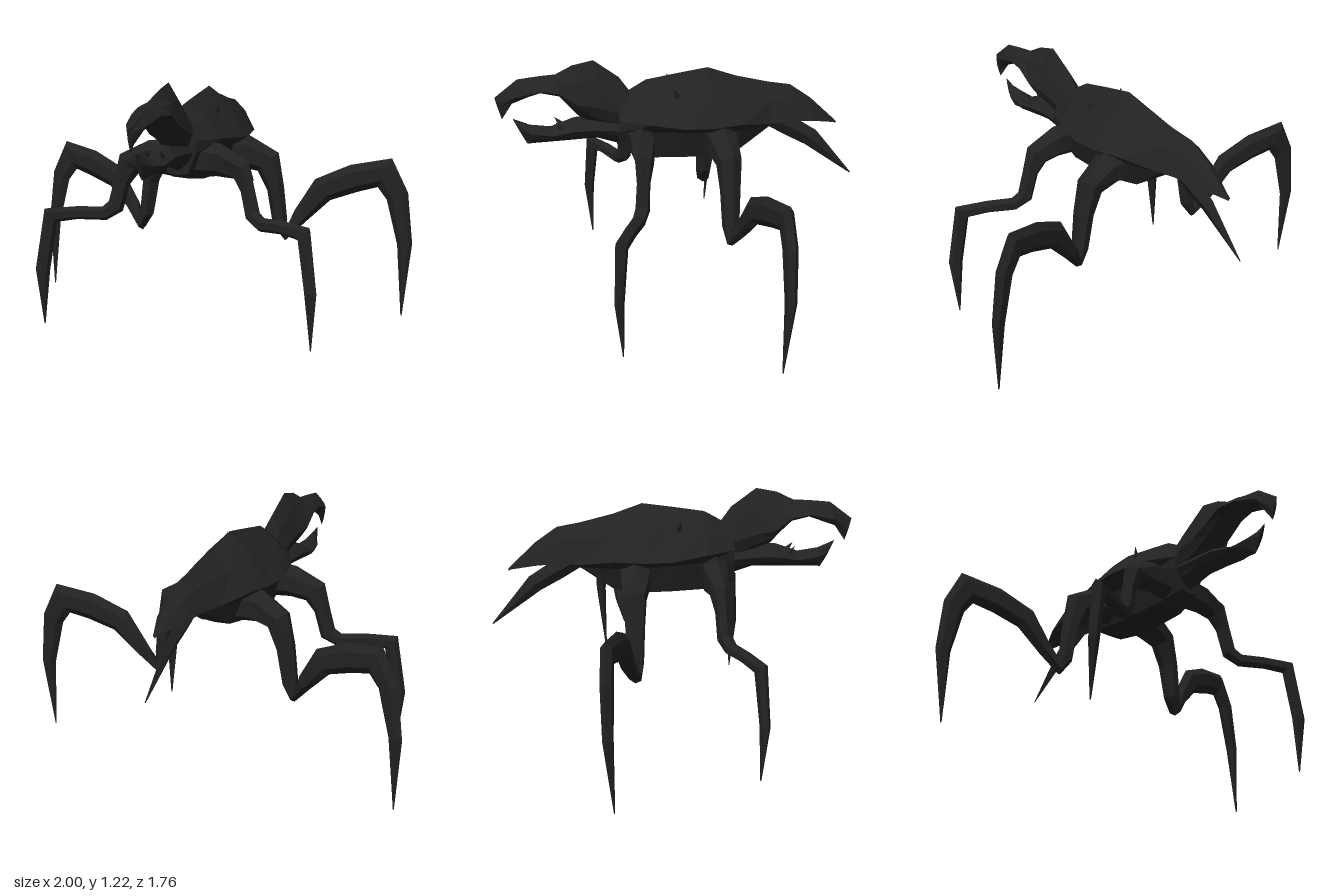
import * as THREE from 'three';

const material = new THREE.MeshStandardMaterial({ color: 0x222222, flatShading: true, side: THREE.DoubleSide });

// Skin a list of equal-length rings, close both ends, and face outwards
function loft(name, rings) {
  const n = rings[0].length, pos = [], idx = [];
  rings.forEach((r) => r.forEach((p) => pos.push(p.x, p.y, p.z)));
  for (let i = 0; i < rings.length - 1; i++) {
    for (let j = 0; j < n; j++) {
      const a = i * n + j, b = i * n + (j + 1) % n;
      idx.push(a, b, a + n, b, b + n, a + n);
    }
  }
  [0, rings.length - 1].forEach((k) => {
    const c = new THREE.Vector3();
    rings[k].forEach((p) => c.addScaledVector(p, 1 / n));
    const m = pos.push(c.x, c.y, c.z) / 3 - 1;
    for (let j = 0; j < n; j++) {
      const a = k * n + j, b = k * n + (j + 1) % n;
      if (k) idx.push(a, b, m); else idx.push(b, a, m);
    }
  });
  // A negative enclosed volume means the winding is inside out
  const v = (i) => new THREE.Vector3().fromArray(pos, i * 3);
  let volume = 0;
  for (let i = 0; i < idx.length; i += 3) volume += v(idx[i]).dot(v(idx[i + 1]).cross(v(idx[i + 2])));
  if (volume < 0) idx.reverse();
  const g = new THREE.BufferGeometry();
  g.setAttribute('position', new THREE.Float32BufferAttribute(pos, 3));
  g.setIndex(idx);
  g.computeVertexNormals();
  const mesh = new THREE.Mesh(g, material);
  mesh.name = name;
  return mesh;
}

// Symmetric ring from a half outline [x, y, z] running from top centre to bottom centre
function mirrorRing(half) {
  const right = half.map((p) => new THREE.Vector3(...p));
  const left = half.slice(1, -1).reverse().map((p) => new THREE.Vector3(-p[0], p[1], p[2]));
  return right.concat(left);
}

// Limb along joints [x, y, z, thickness in leg plane, thickness across it]
function limb(name, joints, across, sides = 6) {
  const pts = joints.map((j) => new THREE.Vector3(j[0], j[1], j[2]));
  return loft(name, joints.map((j, i) => {
    const dirs = [];
    if (i > 0) dirs.push(pts[i].clone().sub(pts[i - 1]).normalize());
    if (i < pts.length - 1) dirs.push(pts[i + 1].clone().sub(pts[i]).normalize());
    const t = dirs.reduce((s, d) => s.add(d), new THREE.Vector3()).normalize();
    const u = new THREE.Vector3().crossVectors(t, across).normalize();
    const w = new THREE.Vector3().crossVectors(u, t);
    return Array.from({ length: sides }, (_, k) => {
      const a = (k / sides) * Math.PI * 2;
      return pts[i].clone().addScaledVector(u, Math.cos(a) * j[3]).addScaledVector(w, Math.sin(a) * j[4]);
    });
  }));
}

export function createModel() {
  const model = new THREE.Group();
  model.name = 'creature';

  // Body: [z, ridge y, shoulder x, y, shell rim x, y, under rim x, y, belly x, y]
  const body = [
    [0.30, 1.04, 0.05, 1.01, 0.095, 0.95, 0.09, 0.89, 0.05, 0.79],
    [0.16, 1.12, 0.09, 1.05, 0.175, 0.95, 0.13, 0.90, 0.08, 0.75],
    [0.00, 1.145, 0.10, 1.06, 0.22, 0.935, 0.14, 0.89, 0.09, 0.745],
    [-0.14, 1.165, 0.11, 1.06, 0.215, 0.93, 0.14, 0.88, 0.09, 0.742],
    [-0.28, 1.115, 0.10, 1.03, 0.185, 0.93, 0.13, 0.88, 0.08, 0.76],
    [-0.44, 1.075, 0.07, 1.01, 0.12, 0.90, 0.08, 0.88, 0.04, 0.86],
    [-0.55, 1.055, 0.055, 1.00, 0.10, 0.90, 0.06, 0.90, 0.03, 0.90],
    [-0.655, 0.98, 0.04, 0.95, 0.075, 0.885, 0.04, 0.89, 0.02, 0.895],
    [-0.79, 0.85, 0.006, 0.848, 0.01, 0.845, 0.006, 0.844, 0.003, 0.843],
  ];
  model.add(loft('body', body.map(([z, top, sx, sy, rx, ry, ux, uy, bx, by]) => mirrorRing(
    [[0, top, z], [sx, sy, z], [rx, ry, z], [ux, uy, z], [bx, by, z], [0, by - 0.005, z]]))));

  // Head parts: [top z, top y, half width, widest y, bottom z, bottom y]
  const headPart = (name, rows) => model.add(loft(name, rows.map(([tz, ty, w, wy, bz, by]) => {
    const at = (y) => bz + (tz - bz) * (y - by) / (ty - by);
    const hi = (ty * 0.6 + wy * 0.4), lo = (by + wy) / 2;
    return mirrorRing([[0, ty, tz], [w * 0.55, hi, at(hi)], [w, wy, at(wy)], [w * 0.7, lo, at(lo)], [0, by, bz]]);
  })));
  headPart('skullAndUpperBeak', [
    [0.22, 1.04, 0.085, 0.95, 0.22, 0.84],
    [0.29, 1.14, 0.075, 0.98, 0.30, 0.85],
    [0.41, 1.23, 0.075, 1.02, 0.41, 0.90],
    [0.51, 1.21, 0.09, 1.04, 0.49, 0.96],
    [0.59, 1.17, 0.085, 1.10, 0.575, 1.06],
    [0.67, 1.165, 0.07, 1.11, 0.665, 1.085],
    [0.77, 1.155, 0.05, 1.08, 0.80, 1.035],
    [0.88, 1.07, 0.008, 1.02, 0.85, 0.96],
  ]);
  headPart('lowerJaw', [
    [0.24, 0.97, 0.085, 0.89, 0.24, 0.785],
    [0.40, 0.96, 0.07, 0.90, 0.40, 0.838],
    [0.51, 0.95, 0.07, 0.90, 0.51, 0.835],
    [0.62, 0.91, 0.06, 0.88, 0.62, 0.832],
    [0.72, 0.925, 0.045, 0.89, 0.70, 0.83],
    [0.80, 0.96, 0.012, 0.90, 0.735, 0.828],
  ]);

  // Tail spike under the shell
  model.add(limb('tailSpike', [
    [0, 0.92, -0.40, 0.04, 0.03], [0, 0.84, -0.55, 0.05, 0.03],
    [0, 0.77, -0.665, 0.045, 0.022], [0, 0.565, -0.878, 0.003, 0.003],
  ], new THREE.Vector3(1, 0, 0), 4));

  // Paired parts
  const frontJoints = [
    [0.06, 0.85, 0.20, 0.09, 0.07], [0.17, 0.85, 0.20, 0.08, 0.065], [0.285, 0.81, 0.21, 0.065, 0.045],
    [0.32, 0.72, 0.22, 0.04, 0.032], [0.35, 0.60, 0.23, 0.042, 0.035], [0.40, 0.565, 0.255, 0.035, 0.032],
    [0.52, 0.57, 0.31, 0.032, 0.03], [0.635, 0.56, 0.365, 0.045, 0.03],
    [0.675, 0.29, 0.385, 0.035, 0.022], [0.677, 0.015, 0.372, 0.003, 0.003],
  ];
  const backJoints = [
    [0.06, 0.83, -0.18, 0.08, 0.09], [0.18, 0.84, -0.18, 0.085, 0.08], [0.295, 0.79, -0.19, 0.07, 0.06],
    [0.335, 0.66, -0.19, 0.043, 0.05], [0.36, 0.49, -0.19, 0.038, 0.042], [0.39, 0.43, -0.195, 0.035, 0.035],
    [0.455, 0.52, -0.23, 0.04, 0.035], [0.56, 0.655, -0.255, 0.065, 0.035], [0.71, 0.715, -0.29, 0.07, 0.035],
    [0.855, 0.745, -0.33, 0.08, 0.03], [0.92, 0.63, -0.335, 0.055, 0.03],
    [0.963, 0.39, -0.335, 0.037, 0.025], [0.96, 0.03, -0.312, 0.003, 0.003],
  ];
  for (const [side, s] of [['left', 1], ['right', -1]]) {
    const flip = (joints) => joints.map(([x, ...rest]) => [x * s, ...rest]);
    model.add(limb(side + 'FrontLeg', flip(frontJoints), new THREE.Vector3(-0.4 * s, 0, 1).normalize()));
    model.add(limb(side + 'BackLeg', flip(backJoints), new THREE.Vector3(0.22 * s, 0, 1).normalize()));

    // Small barb on the shell flank and a tooth on the jaw rim
    const barb = new THREE.Mesh(new THREE.ConeGeometry(0.025, 0.08, 4), material);
    barb.name = side + 'ShellBarb';
    barb.position.set(0.1 * s, 1.07, 0.03);
    barb.rotation.set(0.3, 0, -0.4 * s);
    const tooth = new THREE.Mesh(new THREE.ConeGeometry(0.014, 0.05, 4), material);
    tooth.name = side + 'Tooth';
    tooth.position.set(0.035 * s, 0.925, 0.585);
    tooth.rotation.x = 0.7;
    model.add(barb, tooth);
  }
  return model;
}
